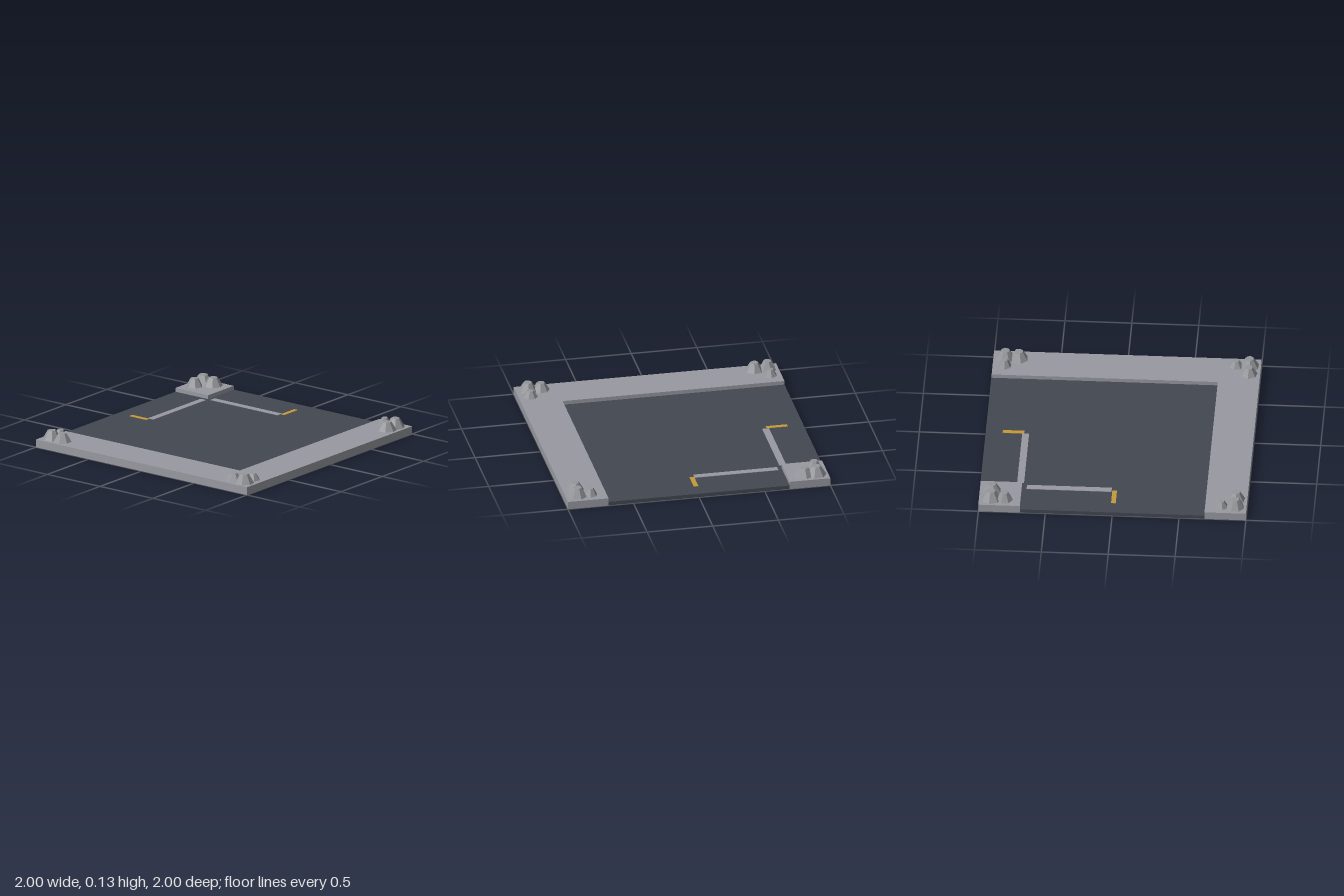
import * as THREE from 'three';

const mat = (name, color) => {
  const m = new THREE.MeshStandardMaterial({ color });
  m.name = name;
  return m;
};

export function createModel() {
  const group = new THREE.Group();
  const paving = mat('paving grey', 0x989aa1);
  const asphalt = mat('asphalt', 0x424751);
  const yellow = mat('marking yellow', 0xc49a3a);
  const stone = mat('stone grey', 0x94969a);
  stone.flatShading = true;

  const add = (name, geometry, material) => {
    const mesh = new THREE.Mesh(geometry, material);
    mesh.name = name;
    group.add(mesh);
    return mesh;
  };
  // Flat slab from an x range, y range and z range
  const slab = (name, material, x0, x1, y0, y1, z0, z1) =>
    add(name, new THREE.BoxGeometry(x1 - x0, y1 - y0, z1 - z0), material)
      .position.set((x0 + x1) / 2, (y0 + y1) / 2, (z0 + z1) / 2);

  const edge = 0.69, curbTop = 0.06, roadTop = 0.03;

  // L-shaped pavement along the right and front edges
  const outline = [[-1, -1], [1, -1], [1, -edge], [-edge, -edge], [-edge, 1], [-1, 1]];
  const shape = new THREE.Shape(outline.map(([x, y]) => new THREE.Vector2(x, y)));
  const pavement = new THREE.ExtrudeGeometry(shape, { depth: curbTop, bevelEnabled: false });
  pavement.rotateX(-Math.PI / 2);
  add('pavement', pavement, paving);
  slab('cornerPavement', paving, edge, 1, 0, curbTop, -1, -edge);

  // Road, wrapped around the small corner pavement
  slab('roadMain', asphalt, -edge, edge, 0.005, roadTop, -1, edge);
  slab('roadSide', asphalt, edge, 1, 0.005, roadTop, -edge, edge);

  // Painted lines
  const paintTop = roadTop + 0.003;
  slab('edgeLineBack', paving, 0.02, 0.655, roadTop, paintTop, -0.735, -0.683);
  slab('edgeLineSide', paving, 0.678, 0.73, roadTop, paintTop, -0.66, -0.022);
  slab('stopLineBack', yellow, -0.02, 0.015, roadTop, paintTop, -0.88, -0.718);
  slab('stopLineSide', yellow, 0.715, 0.876, roadTop, paintTop, -0.02, 0.015);

  // Clusters of tapered rocks in each corner: x, z, base radius, top height
  const rocks = [
    [-0.915, -0.915, 0.07, 0.13], [-0.81, -0.915, 0.052, 0.11], [-0.915, -0.815, 0.07, 0.125],
    [0.91, -0.91, 0.078, 0.13], [0.81, -0.915, 0.064, 0.125], [0.91, -0.815, 0.073, 0.125],
    [-0.915, 0.91, 0.073, 0.13], [-0.915, 0.81, 0.066, 0.12], [-0.815, 0.91, 0.056, 0.11],
    [0.91, 0.91, 0.073, 0.13], [0.81, 0.91, 0.073, 0.125], [0.91, 0.81, 0.052, 0.115],
  ];
  rocks.forEach(([x, z, r, top], i) => {
    const h = top - curbTop;
    const rock = add('rock', new THREE.CylinderGeometry(r * 0.45, r, h, 7), stone);
    rock.position.set(x, curbTop + h / 2, z);
    rock.rotation.y = i * 0.7;
  });
  return group;
}
